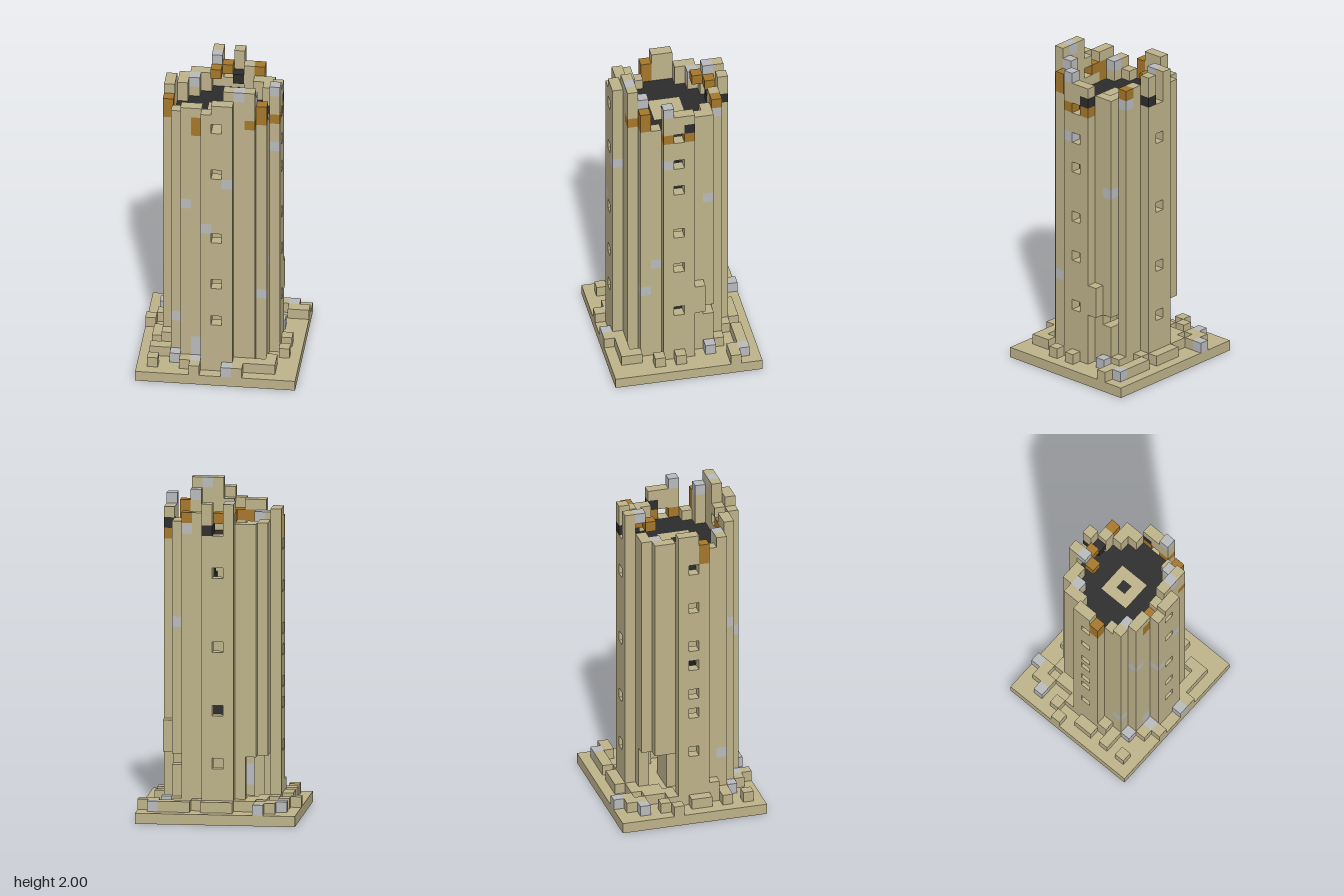
import * as THREE from 'three';

const V = 2 / 31; // block size; grid is 15 wide (i), 31 high (j), 14 deep (k)
const CI = 7, CK = 7; // tower axis

// Rubble on the plinth, one row per k: # sandstone, g granite
const RUBBLE = [
  '...g...........',
  '..##..###.###g.',
  '.g#.##...#...##',
  '...#.......#...',
  '.#..........g..',
  '#.#............',
  '...............',
  '.#...........#.',
  '.#.............',
  '..#..........#.',
  '.##............',
  '...g........#..',
  '.#..#g...####..',
  '.....#..g#.....',
];

// Broken rim: wall heights that differ from the usual 28 blocks
const TOPS = {
  '2,7': 29, '2,6': 29, '4,11': 29, '5,11': 29, '6,12': 29, '7,12': 30, '8,12': 30,
  '9,11': 31, '10,11': 31, '10,10': 30, '11,10': 29, '11,9': 27, '3,9': 27,
  '12,8': 30, '12,7': 29, '12,6': 29, '6,2': 30, '8,2': 30, '9,3': 29, '10,3': 29,
};

// Window heights on each of the four faces
const WINDOWS = [
  [12, 7, [6, 11, 15, 20, 23, 26]],
  [7, 12, [6, 10, 15, 22, 27]],
  [7, 2, [5, 10, 16, 23, 27]],
  [2, 7, [6, 10, 12, 15, 17, 21, 25]],
];

// Odd coloured blocks in the wall: i, j, k
const GRANITE = [
  [12, 29, 8], [12, 23, 8], [8, 21, 12], [4, 18, 11], [6, 16, 12], [11, 8, 10],
  [3, 5, 10], [5, 2, 11], [5, 3, 11], [9, 30, 11], [10, 29, 10], [4, 27, 4],
  [4, 27, 10], [11, 18, 4], [11, 11, 9], [10, 27, 3], [6, 29, 3],
];
const RUST = [
  [2, 26, 8], [2, 27, 8], [5, 26, 11], [5, 27, 11], [10, 27, 11], [11, 27, 10],
  [11, 28, 10], [12, 26, 8], [12, 26, 6], [10, 28, 3], [7, 28, 3], [6, 28, 4], [6, 27, 11],
];
const BLACK = [[12, 27, 6], [8, 27, 2], [8, 27, 3]];

export function createModel() {
  const mat = (name, color) => {
    const m = new THREE.MeshStandardMaterial({ color });
    m.name = name;
    return m;
  };
  const mats = {
    sandstone: mat('sandstone', 0xbdb28a),
    granite: mat('granite', 0xb8babb),
    rust: mat('rust', 0xa5772b),
    black: mat('black', 0x2c2c2c),
  };

  const blocks = new Map();
  const key = (i, j, k) => `${i},${j},${k}`;
  const put = (i, j, k, part, color = 'sandstone') => blocks.set(key(i, j, k), { p: [i, j, k], part, color });
  const cut = (i, j, k) => blocks.delete(key(i, j, k));

  // Plinth and rubble
  for (let k = 0; k < 14; k++) {
    for (let i = 0; i < 15; i++) {
      put(i, 0, k, 'plinth');
      const c = RUBBLE[k][i];
      if (c !== '.') put(i, 1, k, 'rubble', c === 'g' ? 'granite' : 'sandstone');
    }
  }
  put(2, 2, 9, 'rubble');

  // Round wall, central pillar, spiral stair and upper deck
  for (let a = -5; a <= 5; a++) {
    for (let b = -5; b <= 5; b++) {
      const i = CI + a, k = CK + b, r = a * a + b * b;
      if (r > 26) continue;
      if (r > 17) {
        const top = TOPS[`${i},${k}`] ?? 28;
        for (let j = 1; j < top; j++) put(i, j, k, 'wall');
      } else if (Math.max(Math.abs(a), Math.abs(b)) <= 1) {
        const core = r === 0 ? 'black' : 'sandstone';
        for (let j = 1; j < 26; j++) put(i, j, k, 'pillar', core);
      } else {
        put(i, 25, k, 'deck', 'black');
        const turn = (Math.atan2(-b, a) / (2 * Math.PI) + 1) % 1;
        for (const start of [6, 20]) {
          const j = Math.round(start + 14 * turn);
          if (j < 25) put(i, j, k, 'stair', 'black');
        }
      }
    }
  }

  // Inner thickening of the rim
  for (const i of [6, 7, 8]) {
    put(i, 26, 11, 'rim');
    if (i !== 7) put(i, 27, 11, 'rim');
  }
  for (const j of [28, 29, 30]) put(8, j, 11, 'rim');
  put(7, 28, 11, 'rim');

  // Windows
  for (const [i, k, heights] of WINDOWS) for (const j of heights) cut(i, j, k);

  // Breach through the back corner and the loose stub beside it
  for (const i of [3, 4, 10, 11]) cut(i, 5, 4);
  for (let j = 2; j < 6; j++) {
    for (const [i, k] of [[3, 4], [4, 4], [3, 5], [4, 3]]) cut(i, j, k);
  }
  for (let j = 6; j < 9; j++) put(12, j, 5, 'wall');

  // Coloured blocks
  const paint = (list, color) => list.forEach(([i, j, k]) => put(i, j, k, 'wall', color));
  paint(GRANITE, 'granite');
  paint(RUST, 'rust');
  paint(BLACK, 'black');
  cut(7, 27, 3);

  // Exposed block faces, gathered by part and colour
  const bins = {};
  for (const { p, part, color } of blocks.values()) {
    const bin = (bins[`${part} ${color}`] ??= { part, color, pos: [] });
    for (let axis = 0; axis < 3; axis++) {
      for (const s of [-1, 1]) {
        const n = [...p];
        n[axis] += s;
        if (blocks.has(key(...n))) continue;
        const u = (axis + (s > 0 ? 1 : 2)) % 3, w = (axis + (s > 0 ? 2 : 1)) % 3;
        for (const [du, dw] of [[0, 0], [1, 0], [1, 1], [0, 0], [1, 1], [0, 1]]) {
          const c = [...p];
          c[axis] += s > 0 ? 1 : 0;
          c[u] += du;
          c[w] += dw;
          bin.pos.push((c[0] - 7.5) * V, c[1] * V, (c[2] - 7) * V);
        }
      }
    }
  }

  const group = new THREE.Group();
  group.name = 'ruinedTower';
  for (const { part, color, pos } of Object.values(bins)) {
    if (!pos.length) continue;
    const geo = new THREE.BufferGeometry();
    geo.setAttribute('position', new THREE.Float32BufferAttribute(pos, 3));
    geo.computeVertexNormals();
    const mesh = new THREE.Mesh(geo, mats[color]);
    mesh.name = `${part} ${color}`;
    group.add(mesh);
  }
  return group;
}
